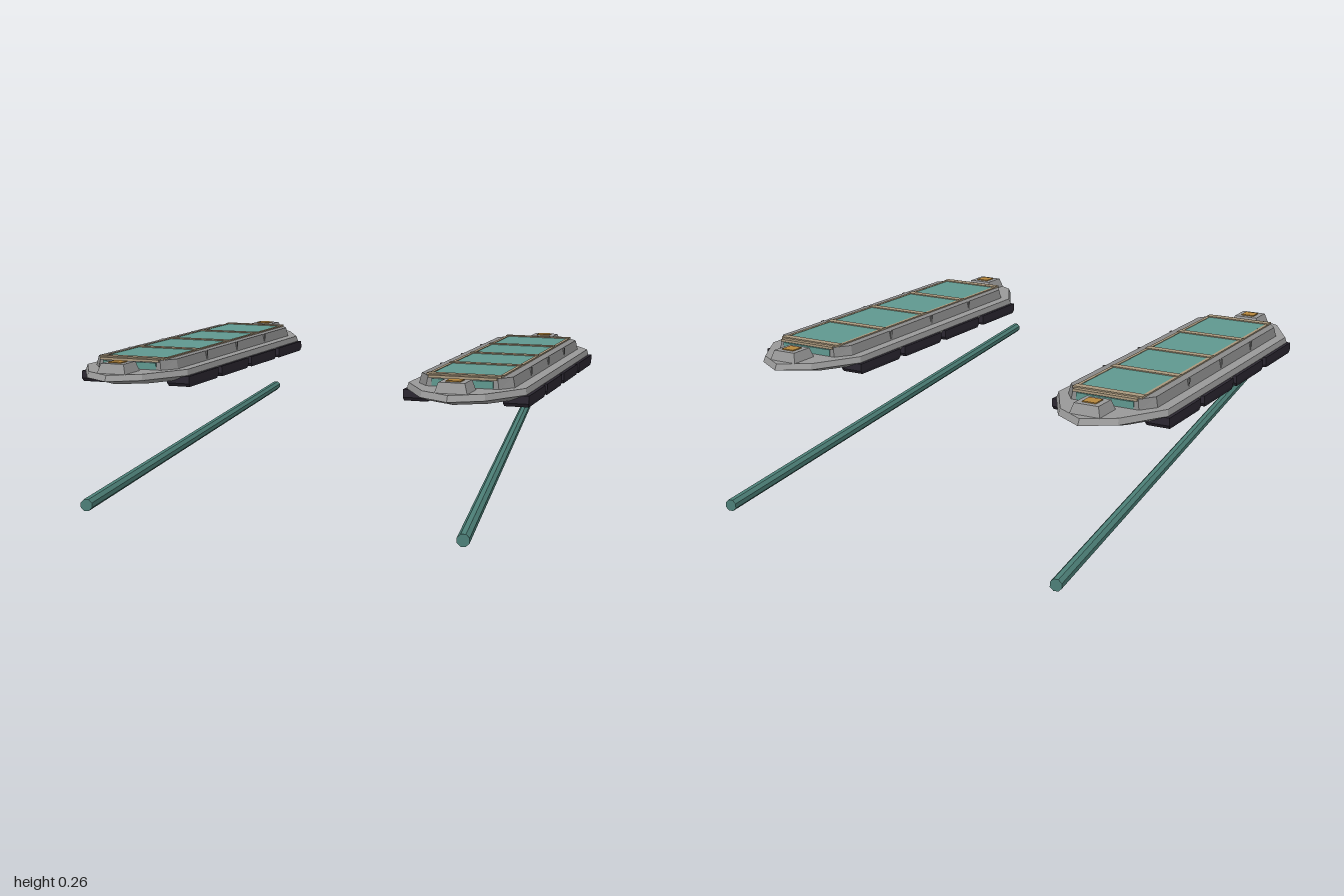
import * as THREE from 'three';

const mat = (color) => new THREE.MeshStandardMaterial({ color, flatShading: true });
const M = {
  hull: mat(0x999999), wall: mat(0x8a8a8a), cover: mat(0x5f988f), frame: mat(0xa8977c),
  hatch: mat(0xb5863c), pad: mat(0x2b2731), rail: mat(0x4c7f77), rib: mat(0x777777),
};

// Mirror quarter outline points [x, z] (side to tip) into a full loop
function outline(quarter) {
  const back = quarter.map(([x, z]) => [x, -z]);
  const left = [...quarter].reverse().map(([x, z]) => [-x, -z]);
  const front = [...quarter].map(([x, z]) => [-x, z]);
  const loop = [...back, ...left, ...front, ...[...quarter].reverse()];
  return loop.filter((p, i) => {
    const q = loop[(i + 1) % loop.length];
    return Math.hypot(p[0] - q[0], p[1] - q[1]) > 1e-6;
  });
}

// Solid through levels [y, scaleX, scaleZ] of one convex outline
function loft(loop, levels) {
  const pos = [];
  const n = loop.length;
  const at = ([y, sx, sz], i) => [loop[i % n][0] * sx, y, loop[i % n][1] * sz];
  for (let k = 0; k < levels.length - 1; k++) {
    const lo = levels[k], hi = levels[k + 1];
    for (let i = 0; i < n; i++) {
      pos.push(...at(lo, i), ...at(lo, i + 1), ...at(hi, i + 1));
      pos.push(...at(lo, i), ...at(hi, i + 1), ...at(hi, i));
    }
  }
  const bottom = levels[0], top = levels[levels.length - 1];
  for (let i = 1; i < n - 1; i++) {
    pos.push(...at(top, 0), ...at(top, i), ...at(top, i + 1));
    pos.push(...at(bottom, 0), ...at(bottom, i + 1), ...at(bottom, i));
  }
  const geo = new THREE.BufferGeometry();
  geo.setAttribute('position', new THREE.Float32BufferAttribute(pos, 3));
  geo.computeVertexNormals();
  return geo;
}

function add(parent, name, geo, material, x = 0, y = 0, z = 0) {
  const mesh = new THREE.Mesh(geo, material);
  mesh.name = name;
  mesh.position.set(x, y, z);
  parent.add(mesh);
  return mesh;
}

const box = (w, h, d) => new THREE.BoxGeometry(w, h, d);

function createCarrier() {
  const g = new THREE.Group();
  g.name = 'carrier';

  // Pointed hull, undercut towards the keel
  const hull = outline([[0.137, 0.355], [0.072, 0.465], [0, 0.51]]);
  add(g, 'hull', loft(hull, [[0.209, 0.94, 0.9], [0.222, 1, 1], [0.236, 0.98, 0.985]]), M.hull);

  // Cargo housing with chamfered corners
  const housing = outline([[0.11, 0.35], [0.083, 0.387]]);
  add(g, 'housing', loft(housing, [[0.234, 1, 1], [0.259, 0.95, 0.99]]), M.wall);

  // Four covers between five cross bars, edged by long bars
  const pitch = 0.183;
  for (let i = 0; i < 4; i++) {
    add(g, 'cargoCover', box(0.152, 0.004, pitch - 0.022), M.cover, 0, 0.2593, (i - 1.5) * pitch);
  }
  for (let i = 0; i < 5; i++) {
    const z = (i - 2) * pitch;
    add(g, 'crossBar', box(0.17, 0.006, 0.02), M.frame, 0, 0.2605, z);
    for (const s of [-1, 1]) {
      if (i > 0 && i < 4) add(g, 'wallRib', box(0.004, 0.024, 0.008), M.rib, s * 0.107, 0.247, z);
    }
  }
  for (const s of [-1, 1]) {
    add(g, 'longBar', box(0.008, 0.005, 4 * pitch), M.frame, s * 0.081, 0.2595, 0);

    // End window and its lintel
    add(g, 'endWindow', box(0.14, 0.016, 0.004), M.cover, 0, 0.245, s * 0.386);
    add(g, 'lintel', box(0.156, 0.006, 0.012), M.frame, 0, 0.2575, s * 0.382);

    // Small tapered cabin with a roof hatch
    const cabin = outline([[0.037, 0.037]]);
    add(g, 'cabin', loft(cabin, [[0, 1, 1], [0.024, 0.8, 0.8]]), M.hull, 0, 0.235, s * 0.443);
    add(g, 'roofHatch', box(0.033, 0.003, 0.033), M.hatch, 0, 0.26, s * 0.443);

    // Row of dark pads under each side
    const pad = outline([[0.029, 0.083]]);
    for (let i = 0; i < 4; i++) {
      const z = (i - 1.5) * 0.186;
      add(g, 'pad', loft(pad, [[0.195, 0.95, 0.93], [0.203, 1, 1], [0.221, 1, 1]]), M.pad, s * 0.115, 0, z);
    }
    for (let i = -1; i <= 1; i++) {
      add(g, 'padLink', box(0.03, 0.01, 0.03), M.rib, s * 0.112, 0.206, i * 0.186);
    }
  }
  return g;
}

export function createModel() {
  const model = new THREE.Group();
  model.name = 'railCarriers';
  for (const s of [-1, 1]) {
    const unit = new THREE.Group();
    unit.name = s < 0 ? 'rightUnit' : 'leftUnit';
    unit.position.set(s * 0.36, 0, s * 0.2);

    const carrier = createCarrier();
    carrier.rotation.y = -0.49;
    unit.add(carrier);

    // Ground rail running beneath at its own angle
    const geo = new THREE.CylinderGeometry(0.0135, 0.0135, 1.685, 8);
    geo.rotateY(Math.PI / 8).rotateX(Math.PI / 2);
    const rail = add(unit, 'rail', geo, M.rail, 0, 0.0125, 0);
    rail.rotation.y = -0.337;
    model.add(unit);
  }
  return model;
}
